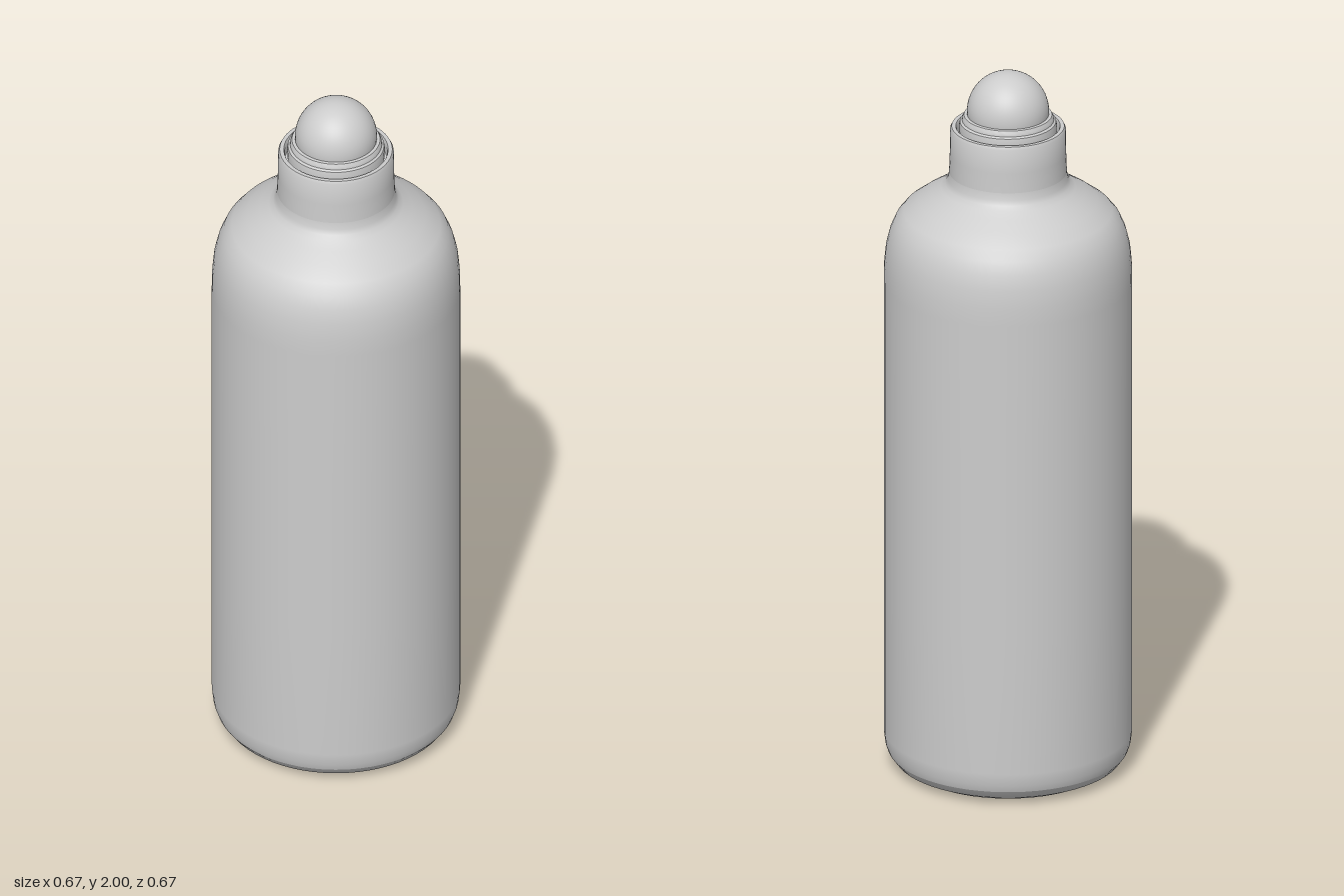
import * as THREE from 'three';
import { toCreasedNormals } from 'three/addons/utils/BufferGeometryUtils.js';

export function createModel() {
  const group = new THREE.Group();
  const grey = new THREE.MeshStandardMaterial({ color: 0xcccccc });
  grey.name = 'light grey plastic';

  const add = (name, geometry) => {
    const mesh = new THREE.Mesh(geometry, grey);
    mesh.name = name;
    group.add(mesh);
    return mesh;
  };
  // Profiles are [radius, height] pairs, running up the outside
  const turn = (profile) =>
    new THREE.LatheGeometry(profile.map(([r, y]) => new THREE.Vector2(r, y)), 64);

  // Base, with a crisp seam where it meets the body
  add('base', turn([[0, 0], [0.235, 0], [0.275, 0.007], [0.305, 0.022], [0.322, 0.045]]));

  // Body wall and rounded shoulder, flowing into the neck
  add('body', turn([
    [0.322, 0.045], [0.329, 0.065], [0.333, 0.1], [0.333, 0.5], [0.333, 1], [0.333, 1.4],
    [0.332, 1.45], [0.327, 1.5], [0.317, 1.54], [0.302, 1.575], [0.28, 1.602],
    [0.24, 1.632], [0.205, 1.654], [0.18, 1.671], [0.168, 1.682], [0.161, 1.695], [0.158, 1.715],
  ]));

  // Neck with a bevelled rim and the inner wall of its groove
  add('neck', toCreasedNormals(turn([
    [0.158, 1.715], [0.156, 1.77], [0.155, 1.838], [0.151, 1.846], [0.14, 1.846],
    [0.137, 1.838], [0.137, 1.81], [0.12, 1.81],
  ]), 0.6));

  // Stepped collar that holds the ball
  add('collar', toCreasedNormals(turn([
    [0.129, 1.81], [0.131, 1.85], [0.129, 1.86], [0.123, 1.864], [0.122, 1.872],
    [0.118, 1.879], [0.108, 1.88], [0.1, 1.86],
  ]), 0.6));

  // Roller ball
  add('ball', new THREE.SphereGeometry(0.11, 48, 32)).position.y = 1.89;

  return group;
}
